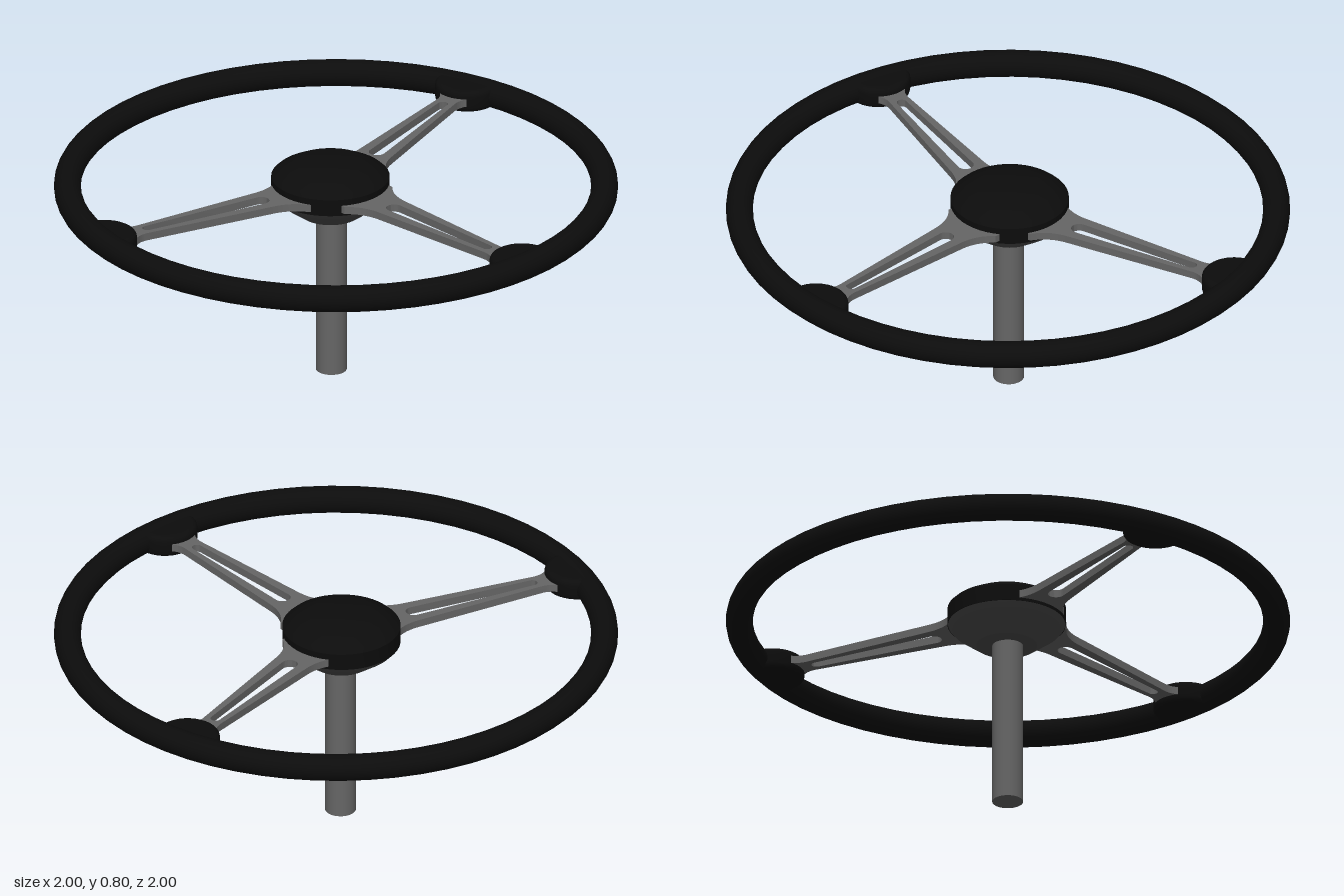
import * as THREE from 'three';
import { toCreasedNormals } from 'three/addons/utils/BufferGeometryUtils.js';

const RIM_Y = 0.715;
const HUB_X = -0.01, HUB_Z = -0.018;

function material(name, color) {
  const m = new THREE.MeshStandardMaterial({ color });
  m.name = name;
  return m;
}

// Flat plate from an outline in (x, z), centred on height 0
function plate(shape, thickness, bevel = 0) {
  const g = new THREE.ExtrudeGeometry(shape, {
    depth: thickness - 2 * bevel, curveSegments: 12,
    bevelEnabled: bevel > 0, bevelThickness: bevel, bevelSize: bevel, bevelOffset: -bevel, bevelSegments: 4,
  });
  g.translate(0, 0, -(thickness - 2 * bevel) / 2);
  g.rotateX(Math.PI / 2);
  return toCreasedNormals(g, 0.6);
}

function lathe(points) {
  const g = new THREE.LatheGeometry(points.map(([r, y]) => new THREE.Vector2(r, y)), 48);
  return toCreasedNormals(g, 0.5);
}

// Tapered spoke with a flared root and a round-ended slot
function spokeShape() {
  const s = new THREE.Shape();
  s.moveTo(-0.12, 0.1);
  s.lineTo(0.12, 0.1);
  s.lineTo(0.12, 0.17);
  s.quadraticCurveTo(0.07, 0.215, 0.066, 0.29);
  s.lineTo(0.037, 0.79);
  s.quadraticCurveTo(0.038, 0.82, 0.055, 0.84);
  s.lineTo(0.055, 0.93);
  s.lineTo(-0.055, 0.93);
  s.lineTo(-0.055, 0.84);
  s.quadraticCurveTo(-0.038, 0.82, -0.037, 0.79);
  s.lineTo(-0.066, 0.29);
  s.quadraticCurveTo(-0.07, 0.215, -0.12, 0.17);
  s.closePath();
  const slot = new THREE.Path();
  slot.absarc(0, 0.3, 0.029, Math.PI, 2 * Math.PI, false);
  slot.absarc(0, 0.765, 0.018, 0, Math.PI, false);
  slot.closePath();
  s.holes.push(slot);
  return s;
}

// Rounded pad where a spoke enters the rim
function padShape() {
  const s = new THREE.Shape();
  s.absarc(0, 0.94, 0.115, Math.PI, 2 * Math.PI, false);
  s.lineTo(0.11, 0.965);
  s.lineTo(-0.11, 0.965);
  s.closePath();
  return s;
}

export function createModel() {
  const group = new THREE.Group();
  const black = material('black grip', 0x0c0c0c);
  const metal = material('grey metal', 0x666666);
  const darkMetal = material('dark grey metal', 0x4c4c4c);

  const add = (name, geometry, mat, x, y, z, turn = 0) => {
    const mesh = new THREE.Mesh(geometry, mat);
    mesh.name = name;
    mesh.position.set(x, y, z);
    mesh.rotation.y = turn;
    group.add(mesh);
  };

  // Rim
  const rim = new THREE.TorusGeometry(0.952, 0.048, 20, 64);
  rim.rotateX(Math.PI / 2);
  add('rim', rim, black, 0, RIM_Y, 0);

  // Three spokes with their rim pads
  const spoke = plate(spokeShape(), 0.028);
  const pad = plate(padShape(), 0.08, 0.02);
  const turns = { front: 0, left: 1.833, right: -1.833 };
  for (const [side, turn] of Object.entries(turns)) {
    add(side + 'Spoke', spoke, metal, -0.007, RIM_Y, 0, turn);
    add(side + 'Pad', pad, black, -0.007, RIM_Y, 0, turn);
  }

  // Hub: domed cap above, tapered bowl below
  add('hubCap', lathe([
    [0, 0.69], [0.21, 0.69], [0.21, 0.752], [0.195, 0.766], [0.155, 0.787], [0.115, 0.8], [0, 0.8],
  ]), black, HUB_X, 0, HUB_Z);
  add('hubBowl', lathe([
    [0, 0.608], [0.108, 0.608], [0.19, 0.668], [0.208, 0.69], [0, 0.69],
  ]), darkMetal, HUB_X, 0, HUB_Z);

  // Steering column
  add('column', new THREE.CylinderGeometry(0.055, 0.055, 0.62, 32), metal, HUB_X, 0.31, HUB_Z + 0.005);

  return group;
}
